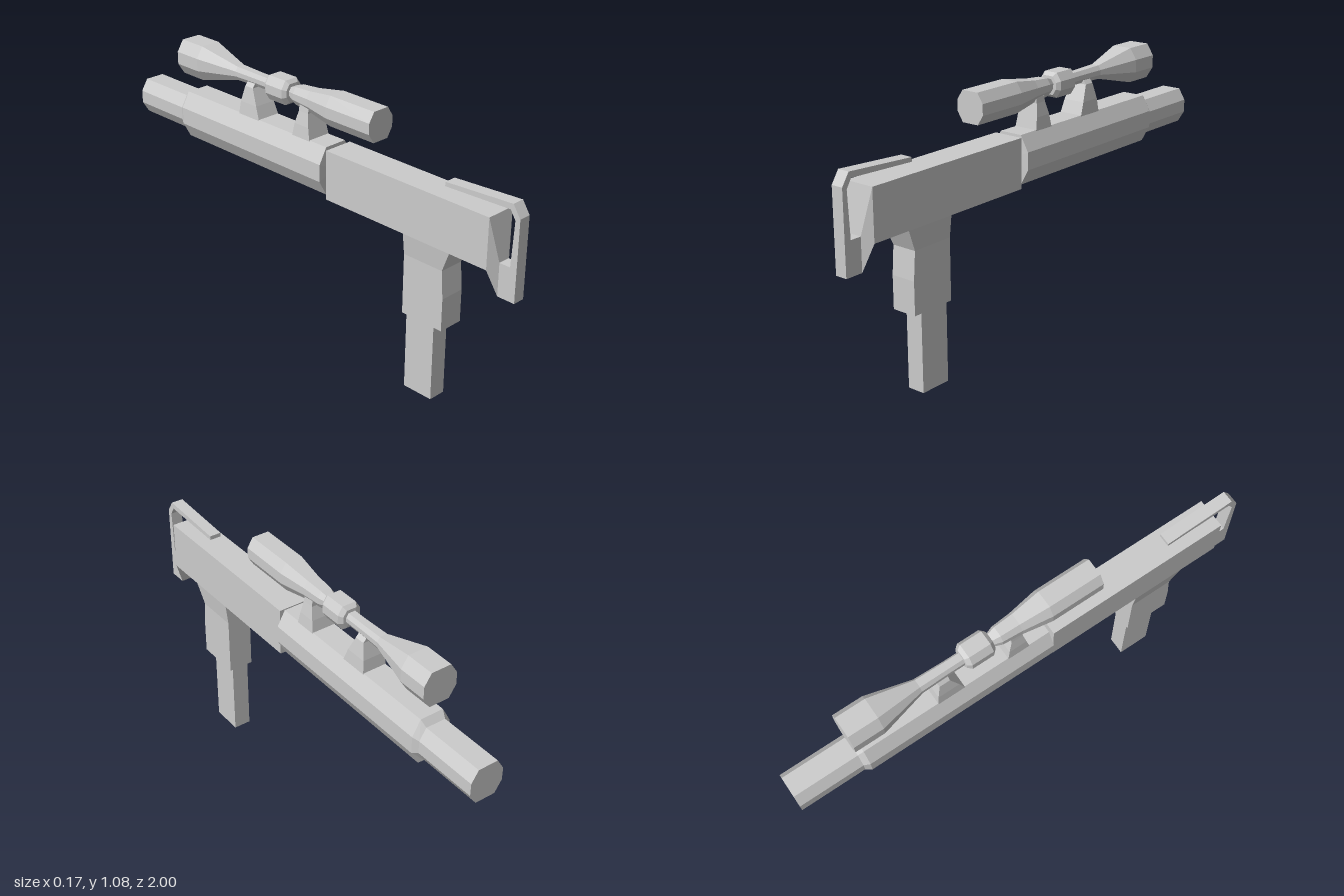
import * as THREE from 'three';

const material = new THREE.MeshStandardMaterial({ color: 0xcccccc, flatShading: true });

// Skin between rings of [x, y, z]; rings run from the +z (or +y) end, counter-clockwise seen from that end.
function loft(rings) {
  const pos = [];
  const tri = (a, b, c) => pos.push(...a, ...b, ...c);
  const n = rings[0].length;
  for (let k = 0; k < rings.length - 1; k++) {
    const r = rings[k], s = rings[k + 1];
    for (let i = 0; i < n; i++) {
      const j = (i + 1) % n;
      tri(r[i], s[i], r[j]);
      tri(r[j], s[i], s[j]);
    }
  }
  const first = rings[0], last = rings[rings.length - 1];
  for (let i = 1; i < n - 1; i++) {
    tri(first[0], first[i], first[i + 1]);
    tri(last[0], last[i + 1], last[i]);
  }
  const g = new THREE.BufferGeometry();
  g.setAttribute('position', new THREE.Float32BufferAttribute(pos, 3));
  g.computeVertexNormals();
  return g;
}

// Octagon with a wide flat top, facing z
const octagon = (z, cy, rx, ry) =>
  [[-0.59, -1], [0.59, -1], [1, -0.36], [1, 0.36], [0.59, 1], [-0.59, 1], [-1, 0.36], [-1, -0.36]]
    .map(([x, y]) => [x * rx, cy + y * ry, z]);

// Upright rectangle facing z, and level rectangle facing y
const upright = (z, w, y0, y1) => [[-w, y0, z], [w, y0, z], [w, y1, z], [-w, y1, z]];
const level = (y, w, z0, z1) => [[-w, y, z1], [w, y, z1], [w, y, z0], [-w, y, z0]];

export function createModel() {
  const group = new THREE.Group();
  const add = (name, geometry) => {
    const mesh = new THREE.Mesh(geometry, material);
    mesh.name = name;
    group.add(mesh);
  };

  // Receiver with its tapered rear end
  add('receiver', loft([
    upright(0.926, 0.025, 0.553, 0.685),
    upright(0.9, 0.063, 0.66, 0.862),
    upright(0.118, 0.063, 0.66, 0.862),
  ]));

  // Folded stock, a bent strap over the rear
  const strap = new THREE.Shape([
    [0.926, 0.553], [1, 0.553], [1, 0.876], [0.968, 0.924], [0.67, 0.906], [0.67, 0.889],
    [0.958, 0.9], [0.98, 0.865], [0.972, 0.685], [0.926, 0.685],
  ].map(([z, y]) => new THREE.Vector2(z, y)));
  const stock = new THREE.ExtrudeGeometry(strap, { depth: 0.05, bevelEnabled: false });
  stock.rotateY(-Math.PI / 2).translate(0.025, 0, 0);
  add('stock', stock);

  // Grip and magazine
  add('grip', loft([
    level(0.662, 0.063, 0.514, 0.734),
    level(0.573, 0.053, 0.514, 0.696),
    level(0.46, 0.053, 0.514, 0.705),
    level(0.327, 0.053, 0.514, 0.705),
  ]));
  add('magazine', loft([level(0.34, 0.037, 0.522, 0.656), level(0, 0.037, 0.522, 0.656)]));

  // Barrel: short neck, wide sleeve, narrower muzzle
  add('barrel', loft([
    [0.13, 0.04, 0.04], [0.107, 0.04, 0.04], [0.105, 0.084, 0.098], [-0.707, 0.084, 0.098],
    [-0.73, 0.071, 0.073], [-1, 0.071, 0.073],
  ].map(([z, rx, ry]) => octagon(z, 0.77, rx, ry))));

  // Scope tube with a collar in the middle
  add('scope', loft([
    [0.335, 0.061], [0.112, 0.061], [-0.01, 0.042], [-0.09, 0.036], [-0.123, 0.025],
    [-0.124, 0.037], [-0.139, 0.05], [-0.23, 0.05], [-0.246, 0.037], [-0.247, 0.025],
    [-0.31, 0.025], [-0.43, 0.028], [-0.616, 0.072], [-0.739, 0.072],
  ].map(([z, r]) => octagon(z, 1.012, r, r))));

  // Scope mounts
  add('rearMount', loft([
    level(0.99, 0.035, -0.055, -0.005), level(0.967, 0.038, -0.055, -0.005),
    level(0.915, 0.047, -0.07, 0.005), level(0.86, 0.052, -0.08, 0.016),
  ]));
  add('frontMount', loft([
    level(1, 0.022, -0.364, -0.32), level(0.983, 0.036, -0.364, -0.32),
    level(0.918, 0.047, -0.38, -0.29), level(0.86, 0.052, -0.388, -0.268),
  ]));

  return group;
}
